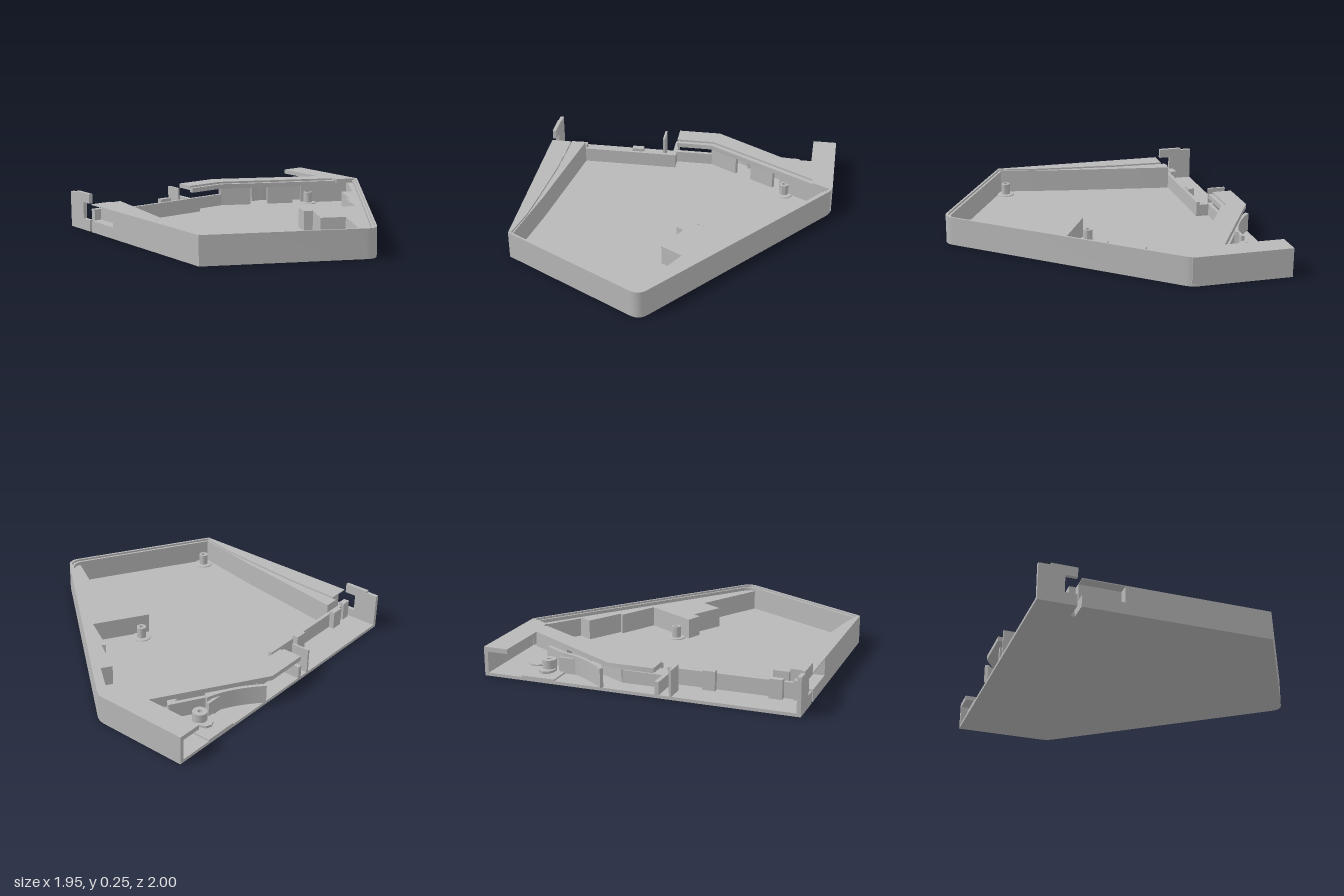
import * as THREE from 'three';
import { toCreasedNormals } from 'three/addons/utils/BufferGeometryUtils.js';

const grey = new THREE.MeshStandardMaterial({ color: 0xb8b8b8 });
grey.name = 'grey plastic';

// Round the middle of three plan points by radius r
function rounded(p, q, s, r) {
  const toward = (t) => {
    const v = new THREE.Vector2(t[0] - q[0], t[1] - q[1]).setLength(r);
    return new THREE.Vector2(q[0] + v.x, q[1] + v.y);
  };
  return new THREE.QuadraticBezierCurve(toward(p), new THREE.Vector2(...q), toward(s))
    .getPoints(8).map((v) => [v.x, v.y]);
}

// Chain along the two long walls, inset by d
function rim(d) {
  const A = [-0.335 - 0.355 * d, -1 + d];
  const B = [0.99 - 1.28 * d, 0.075 + 0.25 * d];
  const C = [0.475 - 0.59 * d, 1 - d];
  return [...rounded([-0.97, A[1]], A, B, 0.05), ...rounded(A, B, C, 0.07), C];
}

export function createModel() {
  const model = new THREE.Group();
  model.name = 'enclosureTray';

  const add = (name, geometry) => {
    const mesh = new THREE.Mesh(geometry, grey);
    mesh.name = name;
    model.add(mesh);
    return mesh;
  };

  // Plan outline [x, z] raised from y0 to y1; holes are [x, z, radius]
  const slab = (name, pts, y0, y1, holes = []) => {
    const shape = new THREE.Shape(pts.map(([x, z]) => new THREE.Vector2(x, -z)));
    for (const [x, z, r] of holes) {
      shape.holes.push(new THREE.Path().absarc(x, -z, r, 0, Math.PI * 2, true));
    }
    const g = new THREE.ExtrudeGeometry(shape, { depth: y1 - y0, bevelEnabled: false, curveSegments: 10 });
    g.rotateX(-Math.PI / 2).translate(0, y0, 0);
    return add(name, toCreasedNormals(g, 0.6));
  };
  const block = (name, x0, x1, y0, y1, z0, z1) => {
    const g = new THREE.BoxGeometry(x1 - x0, y1 - y0, z1 - z0);
    return add(name, g.translate((x0 + x1) / 2, (y0 + y1) / 2, (z0 + z1) / 2));
  };
  // Hollow boss turned around a vertical axis
  const boss = (name, x, z, profile) => {
    const g = new THREE.LatheGeometry(profile.map(([r, y]) => new THREE.Vector2(r, y)), 24);
    return add(name, toCreasedNormals(g, 0.6).translate(x, 0, z));
  };
  // Straight upright rib between two plan points
  const rib = (name, [x0, z0], [x1, z1], t, y0, y1) => {
    const g = new THREE.BoxGeometry(Math.hypot(x1 - x0, z1 - z0), y1 - y0, t);
    g.rotateY(-Math.atan2(z1 - z0, x1 - x0));
    return add(name, g.translate((x0 + x1) / 2, (y0 + y1) / 2, (z0 + z1) / 2));
  };

  const H = 0.185;

  // Floor in two layers, so the upper one carries blind dimples
  const outline = [[-0.97, -1], ...rim(0), [-0.71, 1], [-0.71, 0.87], [-0.735, 0.87], [-0.735, 1], [-0.97, 1]];
  const screwHoles = [[-0.81, -0.64, 0.014]];
  const dimples = [[-0.24, -0.38], [-0.48, 0.03], [-0.31, 0.2], [0.2, 0.19], [0.54, 0.34], [-0.06, 0.4]];
  slab('floorBase', outline, 0, 0.01, screwHoles);
  slab('floorTop', outline, 0.01, 0.02, [...screwHoles, ...dimples.map(([x, z]) => [x, z, 0.022])]);

  // Outer walls with a stepped lip
  slab('wallLip', [...rim(0), ...rim(0.014).reverse()], 0.02, H);
  slab('wallInner', [...rim(0.014), ...rim(0.028).reverse()], 0.02, 0.172);
  block('backWall', -0.97, -0.335, 0.02, H, -1, -0.975);

  // Stepped block along the long back wall
  slab('steppedBlock', [[-0.38, -0.95], [-0.09, -0.78], [-0.15, -0.68], [0.07, -0.55], [0.05, -0.53],
    [0.29, -0.4], [0.1, -0.07], [0.2, -0.03], [0.23, -0.08], [0.43, 0.03], [0.51, -0.11],
    [0.935, 0.13], [0.955, 0.075], [-0.335, -0.975]], 0.02, 0.15);

  // Front wall wedge: low sill, window band, thin cap
  const curve = [[0.46, 0.98], [0.25, 0.935], [0.02, 0.91], [-0.35, 0.875], [-0.71, 0.862]];
  slab('frontSill', [...curve, [-0.71, 1], [0.475, 1]], 0.02, 0.075);
  slab('frontWall', [...curve.slice(0, 3), [-0.35, 0.885], [-0.45, 0.885], [-0.45, 1], [0.475, 1]], 0.075, 0.18);
  slab('windowBack', [[-0.45, 0.93], [-0.71, 0.93], [-0.71, 0.862], [-0.45, 0.87]], 0.075, 0.18);
  slab('frontCap', [...curve, [-0.71, 1], [0.475, 1]], 0.18, H);
  slab('frontLedge', [[-0.735, 0.765], [0.02, 0.885], [0.46, 0.97], ...curve, [-0.735, 0.862]], 0.02, 0.174);

  // Deck over the back left corner and along the diagonal
  slab('deck', [[-0.97, -1], [-0.335, -1], [-0.345, -0.98], [-0.405, -0.86], [-0.45, -0.86], [-0.85, -0.14],
    [-0.85, 0.12], [-0.98, 0.12], [-0.98, -0.17], [-0.59, -0.84], [-0.97, -0.84]], 0.155, H);
  slab('deckStep', [[-0.45, -0.865], [-0.41, -0.865], [-0.822, -0.13], [-0.822, 0.12], [-0.85, 0.12],
    [-0.85, -0.14]], 0.14, 0.172);

  // Ribs below the deck, with gaps between them
  rib('deckRib', [-0.39, -0.94], [-0.55, -0.64], 0.025, 0.02, 0.155);
  rib('deckRib', [-0.58, -0.59], [-0.67, -0.43], 0.025, 0.02, 0.155);
  rib('deckRib', [-0.73, -0.32], [-0.835, -0.135], 0.025, 0.02, 0.155);
  rib('sideRib', [-0.835, -0.135], [-0.835, 0.12], 0.025, 0.02, 0.1);
  rib('cornerRib', [-0.64, -0.73], [-0.77, -0.5], 0.025, 0.02, 0.12);

  // Curved guide
  const arc = new THREE.QuadraticBezierCurve(
    new THREE.Vector2(-0.77, -0.54), new THREE.Vector2(-0.81, -0.37), new THREE.Vector2(-0.96, -0.21)).getPoints(12);
  slab('curvedGuide', [...arc.map((p) => [p.x, p.y]),
    ...arc.map((p) => [p.x - 0.02, p.y - 0.012]).reverse()], 0.02, 0.14);
  block('guideStop', -0.82, -0.8, 0.02, 0.12, -0.57, -0.39);

  // Back left pad and bosses
  slab('cornerPad', [[-0.97, -0.75], [-0.78, -0.75], [-0.78, -0.53], [-0.97, -0.53]], 0.02, 0.03, screwHoles);
  boss('cornerBoss', -0.81, -0.64, [[0.014, 0.02], [0.045, 0.02], [0.045, 0.1], [0.014, 0.1], [0.014, 0.02]]);
  slab('bossFoot', [[-0.9, -0.64], [-0.885, -0.675], [-0.85, -0.69], [-0.82, -0.69], [-0.82, -0.59],
    [-0.85, -0.59], [-0.885, -0.605]], 0.03, 0.045, [[-0.81, -0.64, 0.005]].slice(1));
  boss('cornerDisc', -0.71, -0.77, [[0.055, 0.02], [0.055, 0.03], [0, 0.03]]);

  // Screw posts
  for (const [x, z] of [[0.09, -0.155], [-0.5, -0.67], [0.44, 0.9]]) {
    boss('screwPost', x, z, [[0.06, 0.02], [0.058, 0.026], [0.03, 0.028], [0.03, 0.1], [0.014, 0.1],
      [0.014, 0.03], [0, 0.03]]);
  }

  // Left side compartment
  block('compartmentWall', -0.76, -0.737, 0.02, 0.12, 0.12, 0.96);
  block('compartmentEnd', -0.97, -0.737, 0.02, 0.1, 0.12, 0.147);
  block('uprightTab', -0.97, -0.85, 0.02, 0.18, 0.21, 0.225);
  for (const z of [0.35, 0.76]) block('clip', -0.795, -0.755, 0.02, 0.14, z, z + 0.08);

  // Raised front plate with a side slot
  const plate = new THREE.Shape([[-0.97, 0], [-0.735, 0], [-0.735, 0.075], [-0.81, 0.075], [-0.81, 0.185],
    [-0.735, 0.185], [-0.735, 0.247], [-0.895, 0.247], [-0.895, 0.235], [-0.97, 0.235]]
    .map((p) => new THREE.Vector2(...p)));
  add('frontPlate', new THREE.ExtrudeGeometry(plate, { depth: 0.025, bevelEnabled: false }).translate(0, 0, 0.975));
  block('slotBack', -0.775, -0.737, 0.02, 0.14, 0.9, 0.96);

  return model;
}
